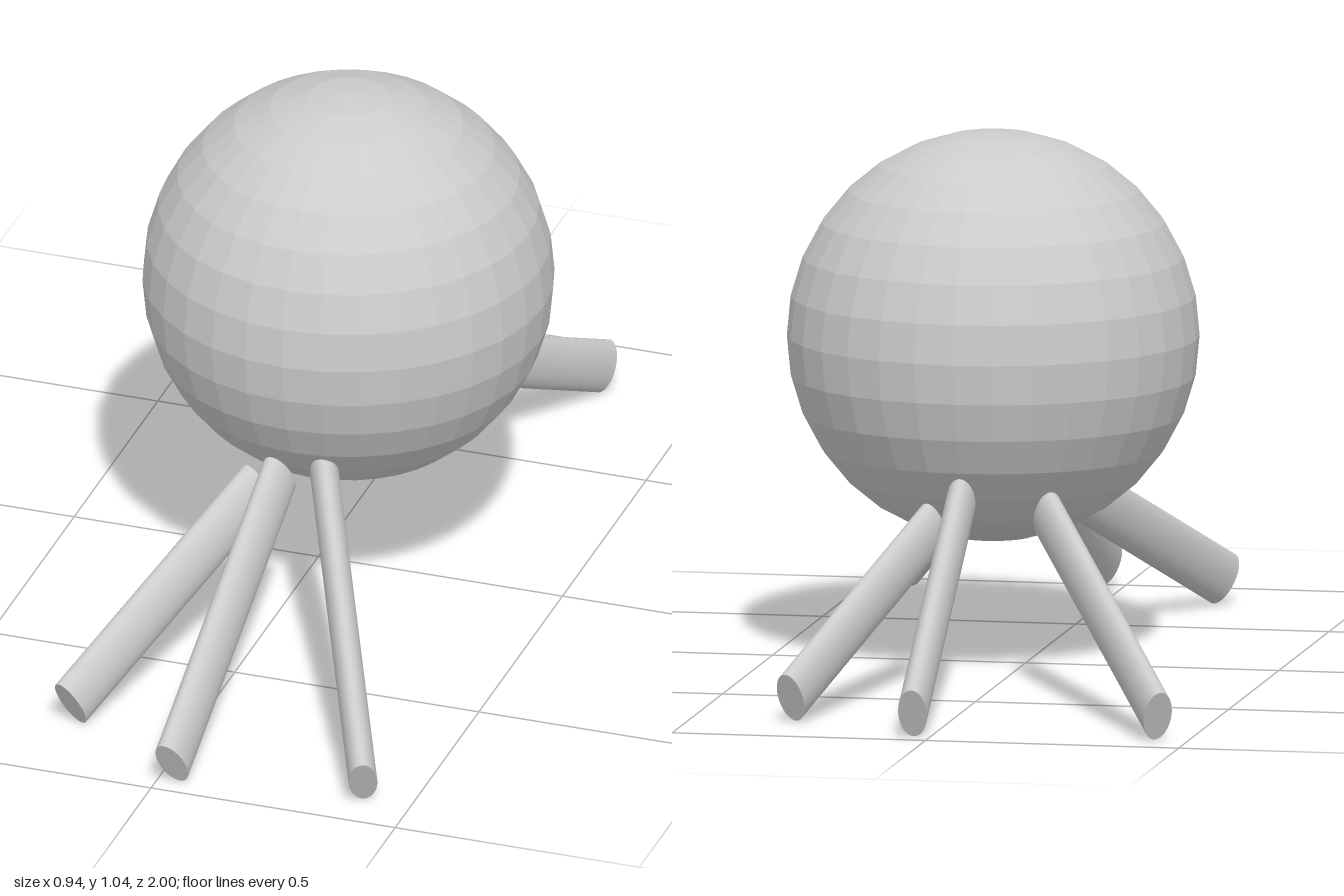
import * as THREE from 'three';

export function createModel() {
  const model = new THREE.Group();
  const smooth = new THREE.MeshStandardMaterial({ color: 0xcccccc });
  const faceted = new THREE.MeshStandardMaterial({ color: 0xcccccc, flatShading: true });

  // Faceted round body
  const body = new THREE.Mesh(new THREE.SphereGeometry(0.4, 32, 16), faceted);
  body.name = 'body';
  body.position.set(0.067, 0.64, 0.015);
  model.add(body);

  // Straight leg with an oval section; lean tips the oval's long axis sideways
  function addLeg(name, inner, outer, lean) {
    const a = new THREE.Vector3(...inner);
    const b = new THREE.Vector3(...outer);
    const along = b.clone().sub(a);
    const length = along.length();
    along.normalize();
    const tall = new THREE.Vector3(lean, 1, 0);
    tall.addScaledVector(along, -tall.dot(along)).normalize();
    const wide = along.clone().cross(tall);

    const geometry = new THREE.CylinderGeometry(1, 1, length, 32);
    geometry.scale(0.028, 1, 0.053);
    geometry.applyMatrix4(new THREE.Matrix4().makeBasis(wide, along, tall));
    const leg = new THREE.Mesh(geometry, smooth);
    leg.name = name;
    leg.position.copy(a).add(b).multiplyScalar(0.5);
    model.add(leg);
  }

  // Three legs splayed forward, three splayed back
  addLeg('frontLeftLeg', [0.115, 0.36, 0.3], [0.41, 0.05, 0.93], -0.1);
  addLeg('frontMiddleLeg', [0.03, 0.35, 0.32], [0.035, 0.05, 0.978], -0.25);
  addLeg('frontRightLeg', [-0.02, 0.31, 0.3], [-0.23, 0.05, 0.81], -0.25);
  addLeg('backLeftLeg', [0.125, 0.31, -0.3], [0.3, 0.05, -0.83], 0);
  addLeg('backMiddleLeg', [0.068, 0.36, -0.3], [0.03, 0.05, -0.978], 0);
  addLeg('backRightLeg', [-0.105, 0.34, -0.31], [-0.443, 0.05, -0.92], 0);

  return model;
}
